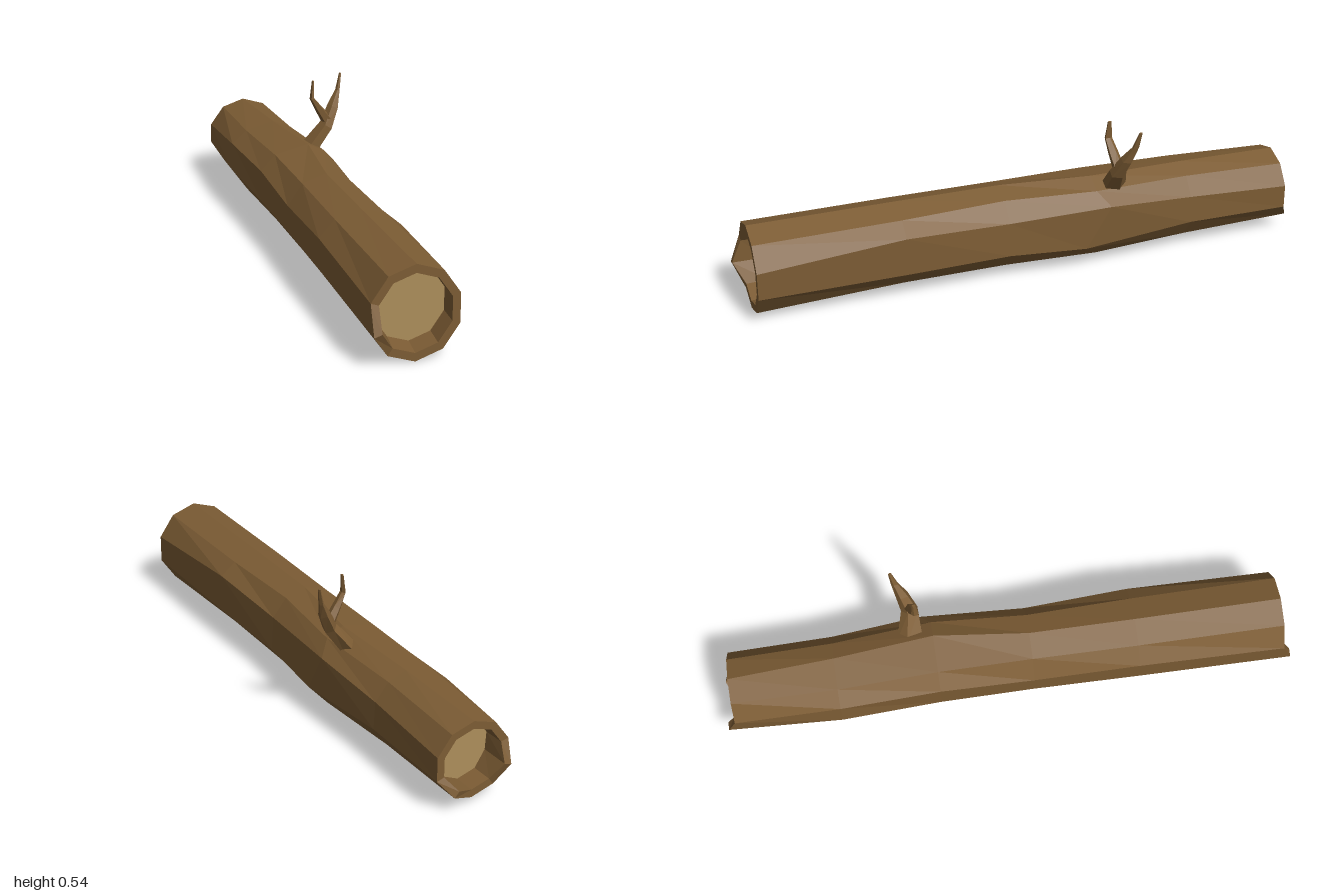
import * as THREE from 'three';

const V = (x, y, z) => new THREE.Vector3(x, y, z);

// Unshared triangles give faceted normals
function facets(tris) {
  const g = new THREE.BufferGeometry().setFromPoints(tris);
  g.computeVertexNormals();
  return g;
}

// Skin a list of equal-length rings
function loft(rings) {
  const t = [];
  for (let r = 0; r < rings.length - 1; r++) {
    const a = rings[r], b = rings[r + 1], n = a.length;
    for (let i = 0; i < n; i++) {
      const j = (i + 1) % n;
      t.push(a[i], a[j], b[j], a[i], b[j], b[i]);
    }
  }
  return facets(t);
}

// Fan across a ring; flip chooses the facing
function disc(ring, flip) {
  const c = ring.reduce((s, p) => s.add(p), V(0, 0, 0)).divideScalar(ring.length);
  const t = [];
  ring.forEach((p, i) => {
    const q = ring[(i + 1) % ring.length];
    t.push(c, flip ? q : p, flip ? p : q);
  });
  return facets(t);
}

// Ten-sided trunk section, starting at the top and going towards +x
function section(z, cx, cy, rx, ry) {
  return Array.from({ length: 10 }, (_, i) => {
    const a = (i * Math.PI) / 5;
    return V(cx + rx * Math.sin(a), cy + ry * Math.cos(a), z);
  });
}

// Five-sided twig along points [x, y, z, half width in xy, half depth in z]
function twig(points) {
  const rings = points.map((p, i) => {
    const a = points[Math.max(i - 1, 0)], b = points[Math.min(i + 1, points.length - 1)];
    const d = V(b[0] - a[0], b[1] - a[1], 0).normalize();
    return Array.from({ length: 5 }, (_, k) => {
      const t = ((k + 0.5) * Math.PI * 2) / 5;
      const v = p[3] * Math.sin(t);
      return V(p[0] + d.y * v, p[1] - d.x * v, p[2] + p[4] * Math.cos(t));
    });
  });
  const [x, y, z] = points[points.length - 1];
  rings.push(rings[0].map(() => V(x, y, z)));
  return loft(rings);
}

export function createModel() {
  const bark = new THREE.MeshStandardMaterial({ color: 0x7c5c34 });
  bark.name = 'bark brown';
  const wood = new THREE.MeshStandardMaterial({ color: 0xad8e5b });
  wood.name = 'cut wood tan';

  const group = new THREE.Group();
  group.name = 'fallenLog';
  const add = (name, geometry, material) => {
    const m = new THREE.Mesh(geometry, material);
    m.name = name;
    group.add(m);
  };

  // Trunk sections from front to back
  const trunk = [
    section(0.965, -0.025, 0.16, 0.153, 0.16),
    section(0.45, -0.025, 0.17, 0.15, 0.15),
    section(0.08, -0.022, 0.17, 0.146, 0.15),
    section(-0.25, -0.02, 0.17, 0.148, 0.15),
    section(-0.6, -0.03, 0.163, 0.145, 0.143),
    section(-0.97, -0.026, 0.156, 0.138, 0.136),
  ];
  // Knocked corners and bumps: section, corner, dx, dy, dz
  [
    [0, 7, 0, 0, 0.035],
    [1, 2, 0, 0.03, 0], [1, 3, 0, -0.015, 0], [1, 8, 0, 0.015, 0],
    [2, 2, -0.012, 0.015, 0], [2, 3, -0.005, -0.015, 0], [2, 1, -0.01, 0.005, 0],
    [3, 0, 0.037, 0, 0], [3, 1, 0.012, -0.002, 0], [3, 2, 0.002, 0.025, -0.04],
    [3, 3, 0, -0.033, 0.05], [3, 4, 0.01, -0.005, 0], [3, 8, 0, 0.02, 0],
    [4, 0, 0.02, 0, 0], [4, 7, -0.012, 0.02, 0], [4, 8, -0.003, 0.025, 0],
    [4, 2, -0.005, 0.01, 0],
    [5, 7, 0.005, 0.005, -0.03], [5, 4, 0.002, 0.01, -0.03],
  ].forEach(([s, i, x, y, z]) => trunk[s][i].add(V(x, y, z)));

  // Rim and hollow at each end
  const inset = (ring, k, dz) => {
    const c = V(-0.025, 0.158, 0);
    return ring.map((p) => V(c.x + (p.x - c.x) * k, c.y + (p.y - c.y) * k, p.z + dz));
  };
  const floorRing = (ring, z) => inset(ring, 0.79, 0).map((p) => V(p.x + 0.006, p.y + 0.004, z));
  const front = trunk[0], back = trunk[5];
  const frontFloor = floorRing(front, 0.89), backFloor = floorRing(back, -0.9);
  add('trunk', loft([
    frontFloor, inset(front, 0.82, 0), ...trunk, inset(back, 0.8, 0), backFloor,
  ]), bark);
  add('frontCutFace', disc(frontFloor, true), wood);
  add('backCutFace', disc(backFloor, false), wood);

  // Forked branch
  add('branchMain', twig([
    [0.035, 0.27, -0.325, 0.031, 0.05],
    [0.107, 0.364, -0.315, 0.025, 0.032],
    [0.14, 0.428, -0.335, 0.021, 0.024],
    [0.163, 0.48, -0.355, 0.008, 0.013],
    [0.177, 0.54, -0.367, 0.004, 0.006],
  ]), bark);
  add('branchFork', twig([
    [0.115, 0.375, -0.318, 0.022, 0.022],
    [0.077, 0.43, -0.308, 0.014, 0.019],
    [0.048, 0.474, -0.3, 0.008, 0.014],
    [0.053, 0.538, -0.302, 0.004, 0.007],
  ]), bark);

  return group;
}
